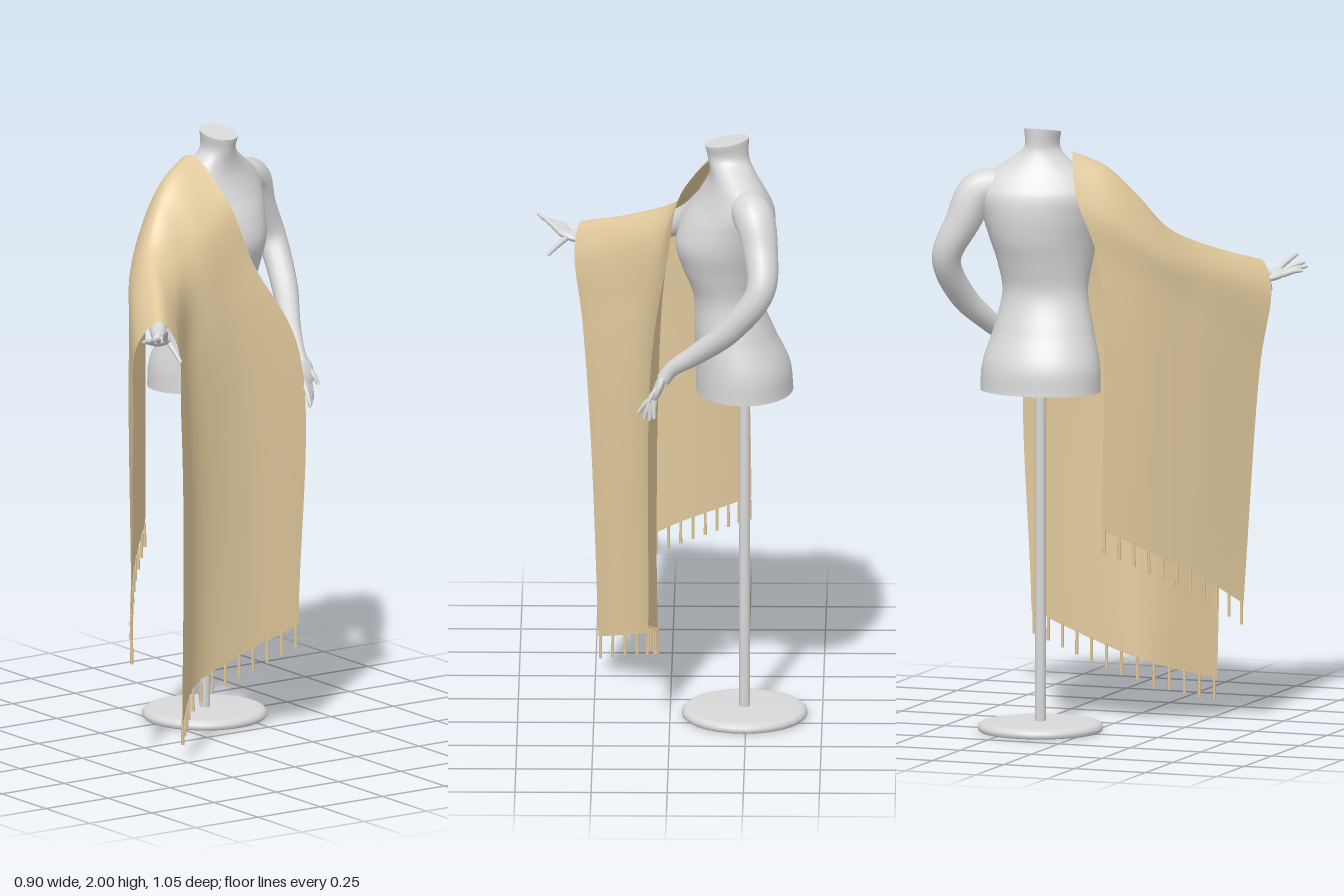
import * as THREE from 'three';
import { ParametricGeometry } from 'three/addons/geometries/ParametricGeometry.js';

const V = (p) => new THREE.Vector3(p[0], p[1], p[2]);
const spline = (...pts) => new THREE.CatmullRomCurve3(pts.map(V));

// Tapered tube: every point is [x, y, z, radius]
function limb(points, radial = 14) {
  const segs = points.length * 6;
  const curve = spline(...points);
  const geo = new THREE.TubeGeometry(curve, segs, 1, radial);
  const lengths = curve.getLengths(200);
  const stops = points.map((p, i) => lengths[Math.round((i / (points.length - 1)) * 200)] / lengths[200]);
  const pos = geo.attributes.position;
  const v = new THREE.Vector3();
  for (let i = 0; i <= segs; i++) {
    const t = i / segs;
    let k = 0;
    while (k < stops.length - 2 && t > stops[k + 1]) k++;
    const r = THREE.MathUtils.lerp(points[k][3], points[k + 1][3], (t - stops[k]) / (stops[k + 1] - stops[k]));
    const c = curve.getPointAt(t);
    for (let j = 0; j <= radial; j++) {
      const n = i * (radial + 1) + j;
      v.fromBufferAttribute(pos, n).sub(c).multiplyScalar(r).add(c);
      pos.setXYZ(n, v.x, v.y, v.z);
    }
  }
  return geo;
}

// Shawl guide lines, each running from the neckline edge to the wrist edge
const backHem = spline([-.265, .68, .06], [-.15, .6, .18], [-.01, .51, .295], [.14, .4, .4]);
const backFall = spline([-.26, 1.55, .05], [-.16, 1.47, .18], [-.01, 1.38, .305], [.2, 1.18, .435]);
const backOfArm = spline([-.29, 1.78, -.02], [-.215, 1.7, .11], [-.12, 1.59, .22], [.04, 1.535, .32], [.25, 1.44, .455]);
const ridge = spline([-.2, 1.92, -.07], [-.16, 1.875, .03], [-.11, 1.78, .12], [-.04, 1.665, .2], [.12, 1.585, .285], [.3, 1.52, .4]);
const frontOfArm = spline([-.04, 1.79, -.112], [-.018, 1.71, -.01], [.01, 1.62, .105], [.135, 1.53, .22], [.32, 1.44, .345]);
const frontChest = spline([.008, 1.58, -.18], [.025, 1.47, -.03], [.085, 1.33, .13], [.293, 1.2, .31]);
const frontFall = spline([.06, 1.27, -.33], [.042, 1.04, -.09], [.085, .98, .1], [.265, .8, .28]);
const frontHem = spline([.07, .35, -.32], [.045, .27, -.1], [.06, .205, .08], [.24, .13, .268]);
const guides = [backHem, backFall, backOfArm, ridge, frontOfArm, frontChest, frontFall, frontHem];

// u runs along the arm, v from the back hem over the arm to the front hem
function shawlPoint(u, v, target) {
  return new THREE.CatmullRomCurve3(guides.map((g) => g.getPoint(u))).getPoint(v, target);
}

// Torso rings: height, centre x, centre z, depth radius, width radius, shoulder twist
const torsoRings = [
  [1.13, -.245, -.165, .16, .203, 0],
  [1.22, -.24, -.165, .155, .198, 0],
  [1.33, -.213, -.167, .132, .168, .02],
  [1.45, -.19, -.17, .112, .14, .08],
  [1.55, -.178, -.175, .138, .152, .13],
  [1.63, -.178, -.18, .158, .17, .17],
  [1.71, -.195, -.18, .148, .188, .2],
  [1.78, -.215, -.182, .12, .2, .2],
  [1.84, -.215, -.187, .09, .165, .18],
  [1.885, -.205, -.185, .074, .105, .12],
  [1.93, -.192, -.18, .068, .057, .05],
  [1.985, -.187, -.18, .072, .059, 0],
];
const torsoCentre = spline(...torsoRings.map((r) => [r[1], r[0], r[2]]));
const torsoShape = new THREE.CatmullRomCurve3(torsoRings.map((r) => V(r.slice(3))), false, 'catmullrom');

function torsoPoint(u, v, target) {
  const c = torsoCentre.getPoint(v);
  const s = torsoShape.getPoint(v);
  const a = -u * Math.PI * 2;
  const dz = s.y * Math.sin(a);
  const dx = s.x * Math.cos(a) + s.z * dz;
  // the cut of the neck leans forward
  const tilt = -.19 * dx * THREE.MathUtils.smoothstep(c.y, 1.93, 1.985);
  target.set(c.x + dx, c.y + tilt, c.z + dz);
}

export function createModel() {
  const model = new THREE.Group();
  const body = new THREE.MeshStandardMaterial({ color: 0xd8d8d8 });
  body.name = 'mannequinGrey';
  const fabric = new THREE.MeshStandardMaterial({ color: 0xe1c99c, side: THREE.DoubleSide });
  fabric.name = 'tanFabric';

  const add = (name, geo, mat, parent = model) => {
    const mesh = new THREE.Mesh(geo, mat);
    mesh.name = name;
    parent.add(mesh);
    return mesh;
  };

  // Stand
  const baseProfile = [[0, 0], [.2, 0], [.206, .006], [.206, .018], [.196, .028], [.18, .031], [0, .034]];
  add('standBase', new THREE.LatheGeometry(baseProfile.map((p) => new THREE.Vector2(...p)), 28), body)
    .position.set(-.245, 0, -.165);
  add('standPole', new THREE.CylinderGeometry(.018, .018, 1.11, 16), body).position.set(-.245, .58, -.165);

  // Torso with flat cuts at the hips and the neck
  add('torso', new ParametricGeometry(torsoPoint, 40, 60), body);
  const hipCut = add('hipCut', new THREE.CircleGeometry(1, 40), body);
  hipCut.scale.set(.16, .203, 1);
  hipCut.rotation.x = Math.PI / 2;
  hipCut.position.set(-.245, 1.13, -.165);
  const neckCut = add('neckCut', new THREE.CircleGeometry(1, 40).rotateX(-Math.PI / 2), body);
  neckCut.scale.set(.0733, 1, .059);
  neckCut.rotation.z = -Math.atan(.19);
  neckCut.position.set(-.187, 1.985, -.18);

  // Arms
  add('leftArm', limb([
    [-.225, 1.8, -.26, .05], [-.275, 1.785, -.365, .07], [-.3, 1.68, -.42, .058], [-.3, 1.56, -.475, .048],
    [-.2, 1.42, -.455, .043], [-.09, 1.32, -.4, .034], [-.005, 1.255, -.367, .025], [.02, 1.22, -.365, .024],
  ]), body);
  add('rightArm', limb([
    [-.19, 1.79, -.04, .05], [-.14, 1.71, .07, .052], [-.04, 1.59, .2, .045],
    [.12, 1.53, .285, .04], [.27, 1.472, .385, .026], [.32, 1.466, .415, .022],
  ]), body);

  // Hands: flattened palm, with fingers and a thumb as the last tip
  const addHand = (name, palm, dir, normal, tips) => {
    const hand = new THREE.Group();
    hand.name = name;
    model.add(hand);
    const centre = V(palm);
    const z = V(dir).normalize();
    const x = V(normal).cross(z).normalize();
    const y = z.clone().cross(x);
    const palmMesh = add('palm', new THREE.SphereGeometry(1, 16, 12).scale(.036, .016, .054), body, hand);
    palmMesh.quaternion.setFromRotationMatrix(new THREE.Matrix4().makeBasis(x, y, z));
    palmMesh.position.copy(centre);
    tips.forEach((tip, i) => {
      const end = V(tip);
      const thumb = i === tips.length - 1;
      const side = THREE.MathUtils.clamp(end.clone().sub(centre).dot(x) * .55, -.024, .024);
      const start = centre.clone().addScaledVector(z, thumb ? -.01 : .028).addScaledVector(x, side);
      const mid = start.clone().lerp(end, .55).addScaledVector(y, .004);
      const nearEnd = mid.clone().lerp(end, .88);
      add(thumb ? 'thumb' : 'finger', limb([
        [...start.toArray(), .0095], [...mid.toArray(), .0085],
        [...nearEnd.toArray(), .006], [...end.toArray(), .001],
      ], 8), body, hand);
    });
  };
  addHand('rightHand', [.335, 1.465, .425], [.09, .02, .07], [-.1, 1, .1], [
    [.445, 1.525, .475], [.432, 1.5, .505], [.408, 1.49, .523], [.37, 1.48, .52], [.41, 1.402, .392],
  ]);
  addHand('leftHand', [.035, 1.195, -.367], [.045, -.12, 0], [1, .4, 0], [
    [.105, 1.095, -.342], [.085, 1.08, -.357], [.066, 1.08, -.373], [.05, 1.09, -.388], [.07, 1.15, -.4],
  ]);

  // Shawl
  add('shawl', new ParametricGeometry(shawlPoint, 36, 64), fabric);

  // Fringe, evenly spaced along both hems
  const tassel = new THREE.CylinderGeometry(.005, .006, .08, 6);
  const fringe = new THREE.Group();
  fringe.name = 'fringe';
  model.add(fringe);
  for (const [hem, count] of [[backHem, 11], [frontHem, 13]]) {
    for (let i = 0; i < count; i++) {
      const p = hem.getPointAt(.015 + .97 * (i / (count - 1)));
      add('tassel', tassel, fabric, fringe).position.set(p.x, p.y - .034, p.z);
    }
  }
  return model;
}
